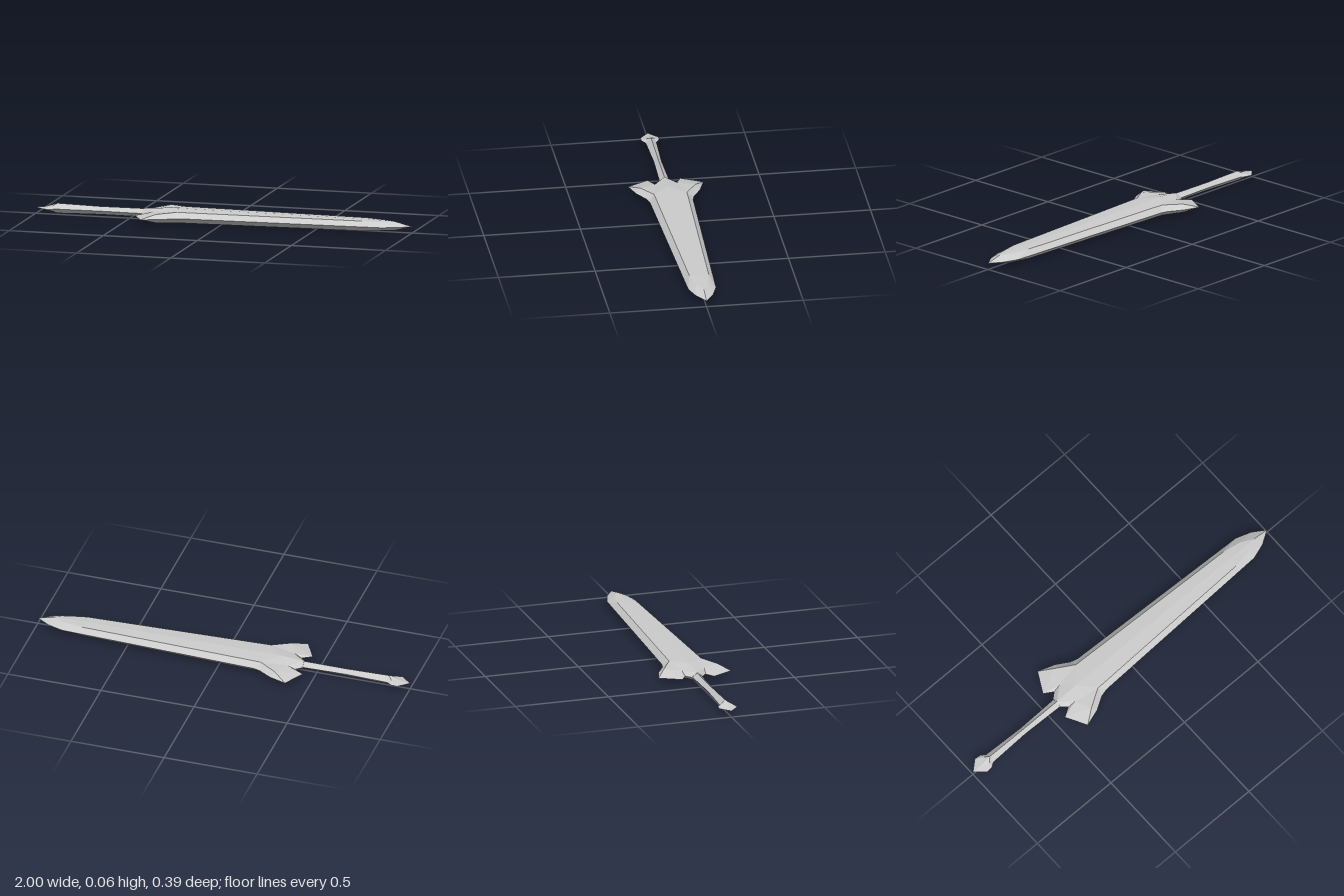
import * as THREE from 'three';

const MID = 0.0325; // height of the sharp edge plane

// Builds one quarter from points [x, z, height] and triangles,
// then mirrors it across the edge plane and the centre line.
function mirrored(name, pts, tris, material) {
  const out = [];
  for (const sy of [1, -1]) for (const sz of [1, -1]) for (const tri of tris) {
    let [a, b, c] = tri.map((k) => new THREE.Vector3(pts[k][0], pts[k][2], pts[k][1]));
    const n = b.clone().sub(a).cross(c.clone().sub(a));
    if (n.y < 0) [b, c] = [c, b];
    if (sy * sz < 0) [b, c] = [c, b];
    for (const p of [a, b, c]) out.push(p.x, MID + sy * p.y, sz * p.z);
  }
  const geo = new THREE.BufferGeometry();
  geo.setAttribute('position', new THREE.Float32BufferAttribute(out, 3));
  geo.computeVertexNormals();
  const mesh = new THREE.Mesh(geo, material);
  mesh.name = name;
  return mesh;
}

export function createModel() {
  const steel = new THREE.MeshStandardMaterial({ color: 0xcccccc });
  steel.name = 'steel';
  steel.flatShading = true;
  const group = new THREE.Group();
  group.name = 'sword';
  const add = (name, pts, tris) => group.add(mirrored(name, pts, tris, steel));

  // Blade: centre ridge, bevel ridge and cutting edge, closing to a point
  add('blade', {
    c0: [-0.225, 0, 0.0325], r0: [-0.225, 0.085, 0.0275], e0: [-0.19, 0.112, 0],
    c1: [0.745, 0, 0.028], r1: [0.745, 0.05, 0.0255], e1: [0.85, 0.072, 0],
    c2: [0.91, 0, 0.023], r2: [0.85, 0.032, 0.0225], e2: [0.93, 0.045, 0],
    tip: [1, 0, 0],
  }, [
    ['c0', 'r0', 'c1'], ['c1', 'r0', 'r1'], ['r0', 'e0', 'r1'], ['r1', 'e0', 'e1'],
    ['c1', 'r1', 'r2'], ['c1', 'r2', 'c2'], ['r1', 'e1', 'r2'], ['r2', 'e1', 'e2'],
    ['r2', 'e2', 'c2'], ['c2', 'e2', 'tip'],
  ]);

  // Guard: swept back wings around a faceted collar
  add('guard', {
    tip: [-0.39, 0.195, 0], side: [-0.3, 0.165, 0], neck: [-0.23, 0.123, 0],
    edge: [-0.19, 0.112, 0], ridge: [-0.225, 0.085, 0.0275], mid: [-0.225, 0, 0.0325],
    peak: [-0.3, 0, 0.0325], wing: [-0.32, 0.143, 0.0225], inner: [-0.45, 0.085, 0],
    notch: [-0.4, 0.055, 0], fold: [-0.36, 0.06, 0.018], collar: [-0.43, 0.03, 0],
    collarTop: [-0.43, 0, 0.0225], collarBase: [-0.431, 0, 0],
  }, [
    ['tip', 'wing', 'side'], ['side', 'wing', 'neck'], ['neck', 'wing', 'ridge'],
    ['neck', 'ridge', 'edge'], ['wing', 'ridge', 'fold'], ['peak', 'fold', 'ridge'],
    ['peak', 'ridge', 'mid'], ['tip', 'inner', 'wing'], ['inner', 'fold', 'wing'],
    ['inner', 'notch', 'fold'], ['notch', 'collar', 'fold'], ['collar', 'collarTop', 'fold'],
    ['collarTop', 'peak', 'fold'], ['collar', 'collarTop', 'collarBase'],
  ]);

  // Grip: waisted diamond bar
  add('grip', {
    c0: [-0.885, 0, 0.026], e0: [-0.885, 0.028, 0],
    c1: [-0.66, 0, 0.021], e1: [-0.66, 0.02, 0],
    c2: [-0.42, 0, 0.022], e2: [-0.42, 0.026, 0],
  }, [
    ['c0', 'e0', 'c1'], ['c1', 'e0', 'e1'], ['c1', 'e1', 'c2'], ['c2', 'e1', 'e2'],
  ]);

  // Pommel: thin leaf shaped point
  add('pommel', {
    tip: [-1, 0, 0], e0: [-0.945, 0.048, 0], e1: [-0.91, 0.045, 0], e2: [-0.885, 0.028, 0],
    c0: [-0.945, 0, 0.007], c1: [-0.885, 0, 0.026], m: [-0.905, 0.02, 0.014],
  }, [
    ['tip', 'e0', 'c0'], ['c0', 'e0', 'm'], ['c0', 'm', 'c1'],
    ['e0', 'e1', 'm'], ['m', 'e1', 'e2'], ['m', 'e2', 'c1'],
  ]);

  return group;
}
